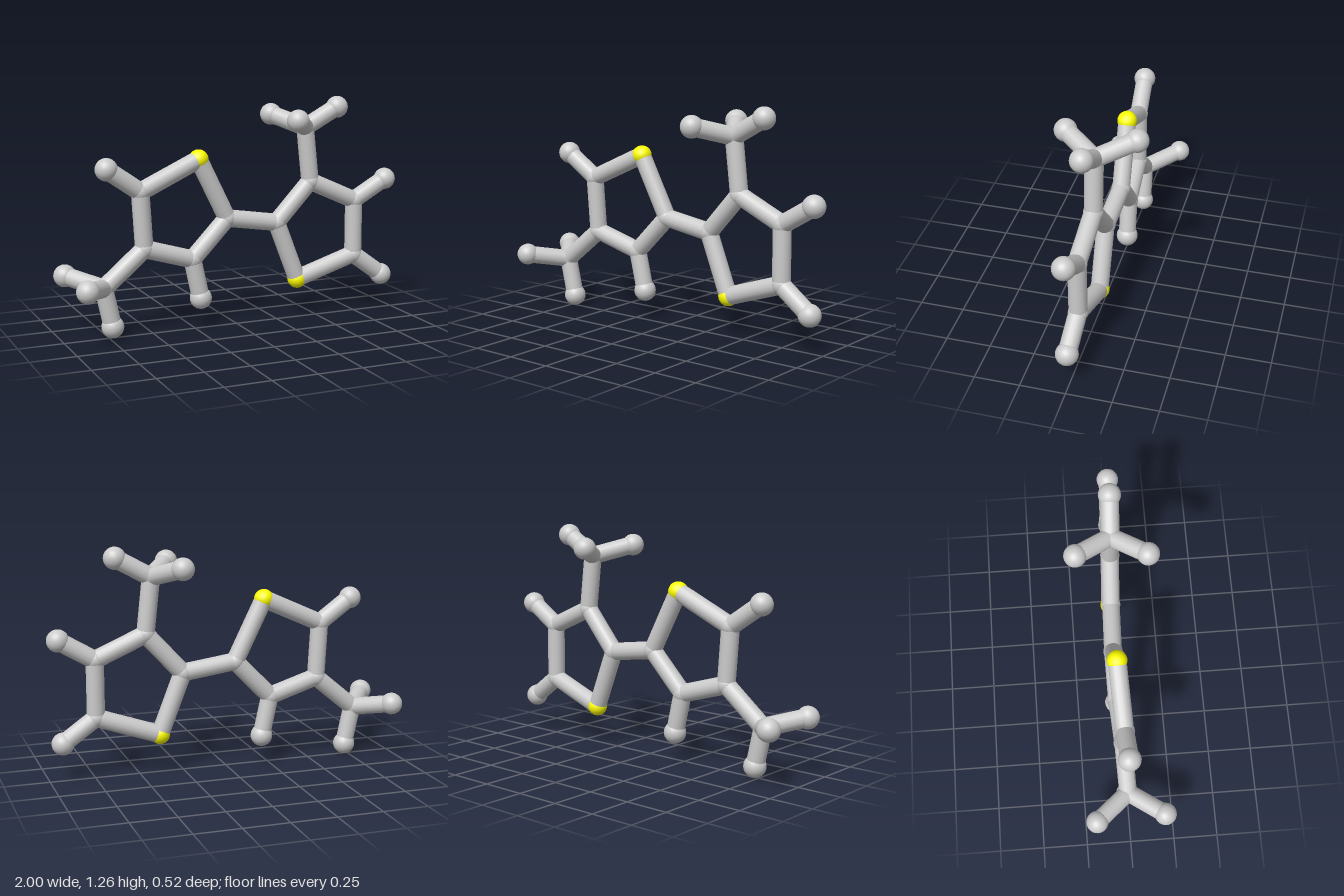
import * as THREE from 'three';

const BOND_RADIUS = 0.05;
const RADII = { carbon: 0.054, sulfur: 0.055, hydrogen: 0.062 };

// Atom centres, by element
const ATOMS = {
  carbon: {
    rightOuter: [-0.56, 0.79, -0.005], rightLower: [-0.54, 0.475, -0.01],
    rightBottom: [-0.255, 0.39, -0.025], rightInner: [-0.045, 0.605, -0.03],
    rightMethyl: [-0.775, 0.28, 0],
    leftInner: [0.255, 0.56, -0.02], leftTop: [0.46, 0.785, -0.01],
    leftUpper: [0.74, 0.66, 0], leftOuter: [0.74, 0.34, 0],
    leftMethyl: [0.425, 1.095, -0.008],
  },
  sulfur: {
    rightSulfur: [-0.217, 0.945, -0.02], leftSulfur: [0.387, 0.222, -0.02],
  },
  hydrogen: {
    rightOuterH: [-0.75, 0.922, 0.005], rightBottomH: [-0.205, 0.165, -0.028],
    rightMethylH1: [-0.728, 0.064, -0.002], rightMethylH2: [-0.92, 0.32, 0.198],
    rightMethylH3: [-0.938, 0.327, -0.183],
    leftUpperH: [0.935, 0.775, 0.01], leftOuterH: [0.922, 0.207, 0.01],
    leftMethylH1: [0.62, 1.203, 0.002], leftMethylH2: [0.287, 1.153, 0.182],
    leftMethylH3: [0.302, 1.157, -0.202],
  },
};

// Chains of bonded atoms
const CHAINS = [
  ['rightSulfur', 'rightOuter', 'rightLower', 'rightBottom', 'rightInner', 'rightSulfur'],
  ['leftSulfur', 'leftInner', 'leftTop', 'leftUpper', 'leftOuter', 'leftSulfur'],
  ['rightInner', 'leftInner'],
  ['rightOuter', 'rightOuterH'], ['rightBottom', 'rightBottomH'],
  ['rightLower', 'rightMethyl', 'rightMethylH1'],
  ['rightMethylH2', 'rightMethyl', 'rightMethylH3'],
  ['leftUpper', 'leftUpperH'], ['leftOuter', 'leftOuterH'],
  ['leftTop', 'leftMethyl', 'leftMethylH1'],
  ['leftMethylH2', 'leftMethyl', 'leftMethylH3'],
];

export function createModel() {
  const model = new THREE.Group();
  model.name = 'molecule';
  const grey = new THREE.MeshStandardMaterial({ color: 0xcccccc });
  const yellow = new THREE.MeshStandardMaterial({ color: 0xffff00 });
  const centres = {};

  // Atom spheres
  for (const [element, atoms] of Object.entries(ATOMS)) {
    const geometry = new THREE.SphereGeometry(RADII[element], 24, 16);
    for (const [name, position] of Object.entries(atoms)) {
      const atom = new THREE.Mesh(geometry, element === 'sulfur' ? yellow : grey);
      atom.name = `${name} ${element} atom`;
      atom.position.set(...position);
      centres[name] = atom.position;
      model.add(atom);
    }
  }

  // Bond rods between neighbouring atoms
  const up = new THREE.Vector3(0, 1, 0);
  for (const chain of CHAINS) {
    for (let i = 1; i < chain.length; i++) {
      const a = centres[chain[i - 1]], b = centres[chain[i]];
      const direction = b.clone().sub(a);
      const bond = new THREE.Mesh(
        new THREE.CylinderGeometry(BOND_RADIUS, BOND_RADIUS, direction.length(), 16, 1, true), grey);
      bond.name = `bond ${chain[i - 1]} to ${chain[i]}`;
      bond.position.copy(a).lerp(b, 0.5);
      bond.quaternion.setFromUnitVectors(up, direction.normalize());
      model.add(bond);
    }
  }
  return model;
}
